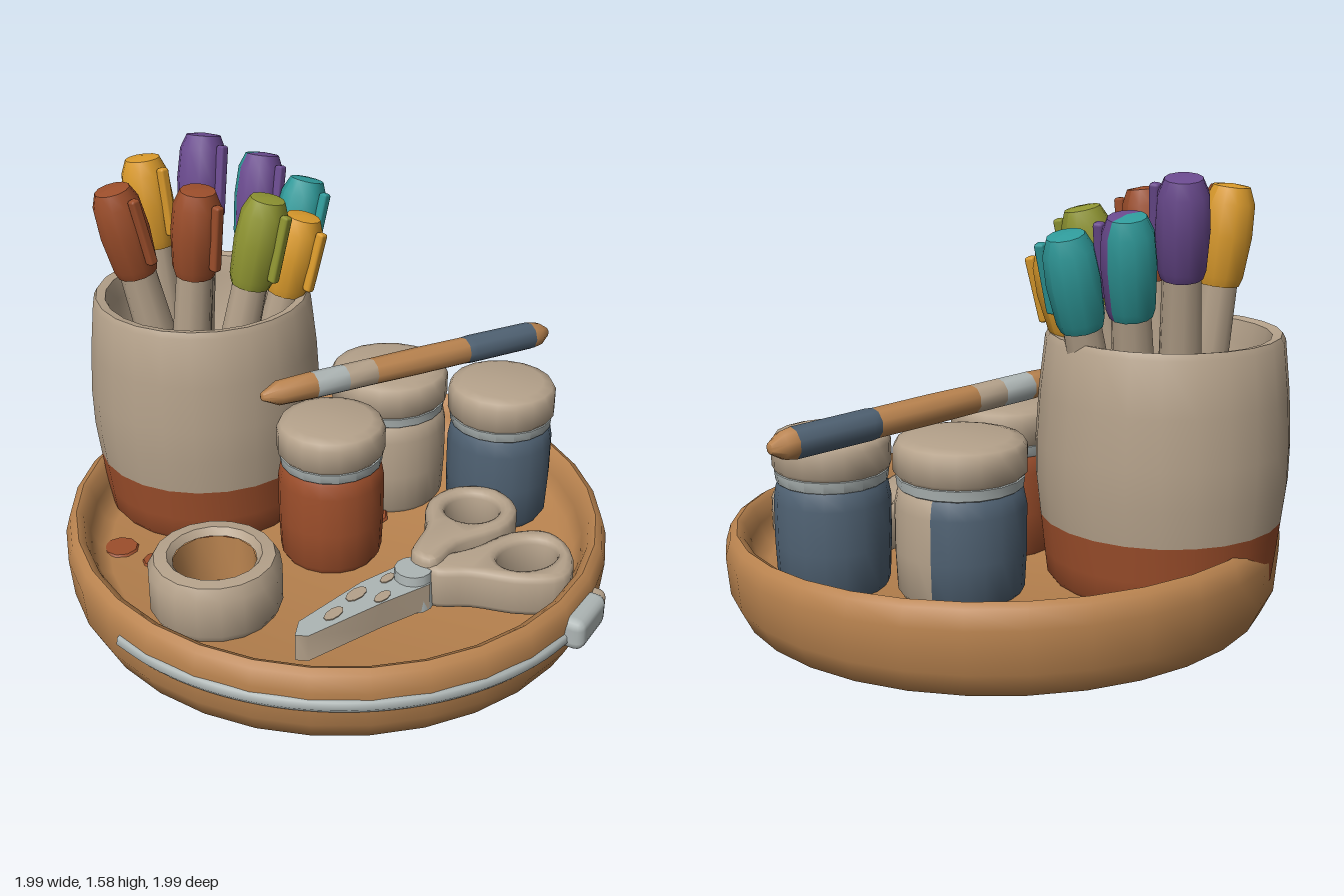
import * as THREE from 'three';
import { toCreasedNormals } from 'three/addons/utils/BufferGeometryUtils.js';
import { RoundedBoxGeometry } from 'three/addons/geometries/RoundedBoxGeometry.js';

const colours = {
  tan: 0xb9834f, beige: 0xb5a28b, rust: 0x9c4e2b, paleGrey: 0xaeb6b5, slate: 0x4f6172,
  teal: 0x2f9a9a, purple: 0x6a4a8e, yellow: 0xdb9b2c, olive: 0x8f9532,
};
const mats = {};
for (const [name, color] of Object.entries(colours)) {
  mats[name] = new THREE.MeshStandardMaterial({ color });
  mats[name].name = name;
}

const UP = new THREE.Vector3(0, 1, 0);
const v2 = (list) => list.map(([x, y]) => new THREE.Vector2(x, y));

function add(parent, name, geometry, material, x = 0, y = 0, z = 0) {
  const mesh = new THREE.Mesh(geometry, material);
  mesh.name = name;
  mesh.position.set(x, y, z);
  parent.add(mesh);
  return mesh;
}

function group(parent, name, x = 0, y = 0, z = 0) {
  const g = new THREE.Group();
  g.name = name;
  g.position.set(x, y, z);
  parent.add(g);
  return g;
}

// Turned part; start and sweep are angles measured from the front
function turned(profile, sides, start = 0, sweep = Math.PI * 2) {
  return toCreasedNormals(new THREE.LatheGeometry(v2(profile), sides, start, sweep), 0.85);
}

// Flat outline drawn in x and z, extruded downwards from its top
function slab(outline, depth, bevel, hole) {
  const shape = new THREE.Shape(outline);
  if (hole) shape.holes.push(new THREE.Path().absellipse(...hole, 0, Math.PI * 2, true));
  const geo = new THREE.ExtrudeGeometry(shape, {
    depth: depth - 2 * bevel, bevelEnabled: bevel > 0, bevelSize: bevel,
    bevelThickness: bevel, bevelOffset: -bevel, bevelSegments: 2, curveSegments: 14,
  });
  geo.translate(0, 0, bevel);
  geo.rotateX(Math.PI / 2);
  return toCreasedNormals(geo, 0.85);
}

function smoothLoop(points) {
  const curve = new THREE.CatmullRomCurve3(points.map(([x, y]) => new THREE.Vector3(x, y, 0)), true);
  return curve.getPoints(32).slice(0, -1).map((p) => new THREE.Vector2(p.x, p.y));
}

function buildTray(root) {
  const tray = group(root, 'tray');
  const geo = new THREE.LatheGeometry(v2([
    [0, 0.015], [0.86, 0.015], [0.94, 0.05], [0.98, 0.13], [0.992, 0.27], [0.975, 0.33],
    [0.95, 0.345], [0.925, 0.33], [0.905, 0.27], [0.88, 0.205], [0.84, 0.19], [0, 0.19],
  ]), 32);
  // The whole tray rises slightly towards the back
  const p = geo.attributes.position;
  for (let i = 0; i < p.count; i++) p.setY(i, p.getY(i) - p.getZ(i) * (0.014 + 0.06 * p.getY(i)));
  geo.computeVertexNormals();
  add(tray, 'trayBowl', toCreasedNormals(geo, 0.9), mats.tan);

  // Strip along the front wall, ending in a raised tab
  const path = [];
  for (let i = 0; i <= 12; i++) {
    const a = THREE.MathUtils.lerp(-1.32, 0.4, i / 12);
    path.push(new THREE.Vector3(Math.sin(a) * 0.972, 0.215 - 0.035 * i / 12, Math.cos(a) * 0.972));
  }
  add(tray, 'frontStrip', new THREE.TubeGeometry(new THREE.CatmullRomCurve3(path), 36, 0.03, 7), mats.paleGrey);
  const tab = group(tray, 'frontTab', 0.485, 0.2, 0.865);
  tab.rotation.y = 0.51;
  add(tab, 'tabBody', new RoundedBoxGeometry(0.22, 0.12, 0.1, 2, 0.035), mats.paleGrey, -0.02);
  add(tab, 'tabEnd', new RoundedBoxGeometry(0.1, 0.105, 0.08, 2, 0.03), mats.beige, 0.08, 0, -0.005);

  // Paint spots on the floor
  for (const [x, z, r] of [[-0.74, -0.3, 0.06], [-0.66, -0.16, 0.045], [0.16, -0.06, 0.08]]) {
    add(tray, 'paintSpot', new THREE.CylinderGeometry(r, r * 1.1, 0.008, 9), mats.rust, x, 0.2, z);
  }
}

function buildPot(root) {
  const pot = group(root, 'pot', -0.275, 0, -0.525);
  add(pot, 'potBase', turned([[0, 0.18], [0.36, 0.18], [0.39, 0.22], [0.4, 0.3], [0.414, 0.425]], 24), mats.rust);
  add(pot, 'potBody', turned([
    [0.414, 0.425], [0.428, 0.55], [0.43, 0.68], [0.42, 0.85], [0.4, 1.03], [0.388, 1.052],
    [0.355, 1.045], [0.34, 0.97], [0.33, 0.75], [0.3, 0.7], [0, 0.7],
  ], 24), mats.beige);
}

// Marker from the lower edge of its cap to its top; back colours the rear half of the cap
function buildMarker(root, base, top, front, back = front) {
  const from = new THREE.Vector3(...base);
  const dir = new THREE.Vector3(...top).sub(from);
  const len = dir.length();
  const pen = group(root, 'marker', ...base);
  pen.quaternion.setFromUnitVectors(UP, dir.normalize());
  const cap = [[0, 0], [0.07, 0], [0.08, 0.03], [0.09, len * 0.5], [0.084, len - 0.06], [0.062, len - 0.008], [0, len]];
  add(pen, 'capFront', turned(cap, 6, -Math.PI / 2, Math.PI), mats[front]);
  add(pen, 'capBack', turned(cap, 6, Math.PI / 2, Math.PI), mats[back]);
  const clip = add(pen, 'capClip', new RoundedBoxGeometry(0.035, len * 0.75, 0.035, 1, 0.01), mats[front], 0.035, len * 0.52, 0.09);
  clip.rotation.y = 0.35;
  add(pen, 'markerBarrel', new THREE.CylinderGeometry(0.064, 0.076, 0.5, 10), mats.beige, 0, -0.24, 0);
}

function buildJar(root, x, z, r, front, back = front) {
  const jar = group(root, 'paintJar', x, 0, z);
  const s = r / 0.2;
  const body = [[0, 0.18], [0.17, 0.18], [0.188, 0.21], [0.194, 0.35], [0.194, 0.5], [0.185, 0.55], [0.168, 0.575]].map(([a, y]) => [a * s, y]);
  const rear = back === front ? 0 : 2.2;
  add(jar, 'jarBody', turned(body, 18, rear / 2 - Math.PI + Math.PI * 2, Math.PI * 2 - rear), mats[front]);
  if (rear) add(jar, 'jarBodyBack', turned(body, 8, Math.PI - rear / 2, rear), mats[back]);
  add(jar, 'jarNeck', turned([[0.165 * s, 0.55], [0.186 * s, 0.565], [0.19 * s, 0.6], [0.16 * s, 0.615]], 18), mats.paleGrey);
  add(jar, 'jarLid', turned([
    [0, 0.595], [0.18, 0.595], [0.197, 0.615], [0.197, 0.695], [0.185, 0.718], [0.15, 0.728], [0, 0.73],
  ].map(([a, y]) => [a * s, y]), 18), mats.beige);
}

function buildBrush(root) {
  const start = new THREE.Vector3(-0.27, 0.813, -0.06);
  const dir = new THREE.Vector3(0.995, 0.768, -0.1).sub(start).normalize();
  const brush = group(root, 'brush', ...start.toArray());
  brush.quaternion.setFromUnitVectors(UP, dir);
  const pieces = [
    ['brushTip', 'tan', [[0, 0], [0.015, 0.005], [0.045, 0.07], [0.05, 0.21]]],
    ['ferruleFront', 'paleGrey', [[0.05, 0.21], [0.05, 0.34]]],
    ['ferruleRear', 'beige', [[0.05, 0.34], [0.05, 0.46]]],
    ['handle', 'tan', [[0.05, 0.46], [0.052, 0.65], [0.051, 0.87]]],
    ['handleGrip', 'slate', [[0.051, 0.87], [0.054, 0.9], [0.053, 1.18]]],
    ['handleEnd', 'tan', [[0.053, 1.18], [0.046, 1.22], [0.018, 1.263], [0, 1.266]]],
  ];
  for (const [name, colour, profile] of pieces) add(brush, name, turned(profile, 9), mats[colour]);
}

function buildTape(root) {
  const tape = group(root, 'tapeRoll', -0.57, 0, 0.17);
  add(tape, 'tapeOuter', turned([[0.15, 0.18], [0.215, 0.18], [0.232, 0.21], [0.232, 0.35], [0.21, 0.39], [0.165, 0.395], [0.145, 0.37]], 18), mats.beige);
  add(tape, 'tapeCore', turned([[0.145, 0.37], [0.138, 0.18]], 12), mats.tan);
}

function buildScissors(root) {
  const scissors = group(root, 'scissors');
  const blade = v2([[-0.485, 0.6], [-0.44, 0.54], [-0.15, 0.445], [0.02, 0.42], [0.09, 0.49], [0.05, 0.57], [-0.15, 0.585], [-0.45, 0.625]]);
  add(scissors, 'blade', slab(blade, 0.1, 0), [mats.paleGrey, mats.beige], 0, 0.3, 0);
  for (const [x, z, rx] of [[-0.32, 0.56, 0.045], [-0.2, 0.5, 0.05], [-0.13, 0.555, 0.04], [-0.06, 0.47, 0.035]]) {
    const spot = add(scissors, 'bladeSpot', new THREE.CylinderGeometry(rx, rx, 0.006, 9), mats.beige, x, 0.301, z);
    spot.scale.z = 0.5;
    spot.rotation.y = 0.4;
  }
  const upper = [[0.04, 0.46], [0.18, 0.33], [0.27, 0.2], [0.41, 0.16], [0.53, 0.23], [0.54, 0.38], [0.43, 0.475], [0.22, 0.48], [0.08, 0.54]];
  const lower = [[0.06, 0.48], [0.27, 0.495], [0.45, 0.48], [0.565, 0.54], [0.565, 0.68], [0.45, 0.8], [0.31, 0.75], [0.18, 0.63], [0.07, 0.56]];
  add(scissors, 'rearHandle', slab(smoothLoop(upper), 0.16, 0.025, [0.385, 0.32, 0.1, 0.095]), mats.beige, 0, 0.375, 0);
  add(scissors, 'frontHandle', slab(smoothLoop(lower), 0.16, 0.025, [0.41, 0.63, 0.115, 0.085]), mats.beige, 0, 0.345, 0);
  add(scissors, 'pivot', new THREE.CylinderGeometry(0.065, 0.075, 0.14, 14), mats.paleGrey, 0.025, 0.265, 0.5);
}

export function createModel() {
  const root = new THREE.Group();
  root.name = 'craftTray';
  buildTray(root);
  buildPot(root);
  const markers = [
    [[-0.54, 1.19, -0.47], [-0.61, 1.51, -0.48], 'rust'],
    [[-0.40, 1.21, -0.64], [-0.42, 1.54, -0.67], 'yellow'],
    [[-0.37, 1.19, -0.36], [-0.355, 1.51, -0.33], 'rust'],
    [[-0.22, 1.25, -0.65], [-0.165, 1.58, -0.70], 'purple'],
    [[-0.18, 1.13, -0.31], [-0.115, 1.455, -0.28], 'olive'],
    [[0.0, 1.15, -0.65], [0.065, 1.475, -0.69], 'purple', 'teal'],
    [[0.08, 1.1, -0.51], [0.165, 1.41, -0.52], 'teal'],
    [[-0.015, 1.05, -0.36], [0.05, 1.345, -0.33], 'yellow'],
  ];
  for (const m of markers) buildMarker(root, ...m);
  buildJar(root, -0.053, 0.055, 0.197, 'rust');
  buildJar(root, 0.35, -0.22, 0.228, 'beige', 'slate');
  buildJar(root, 0.65, 0.1, 0.203, 'slate');
  buildBrush(root);
  buildTape(root);
  buildScissors(root);
  return root;
}
